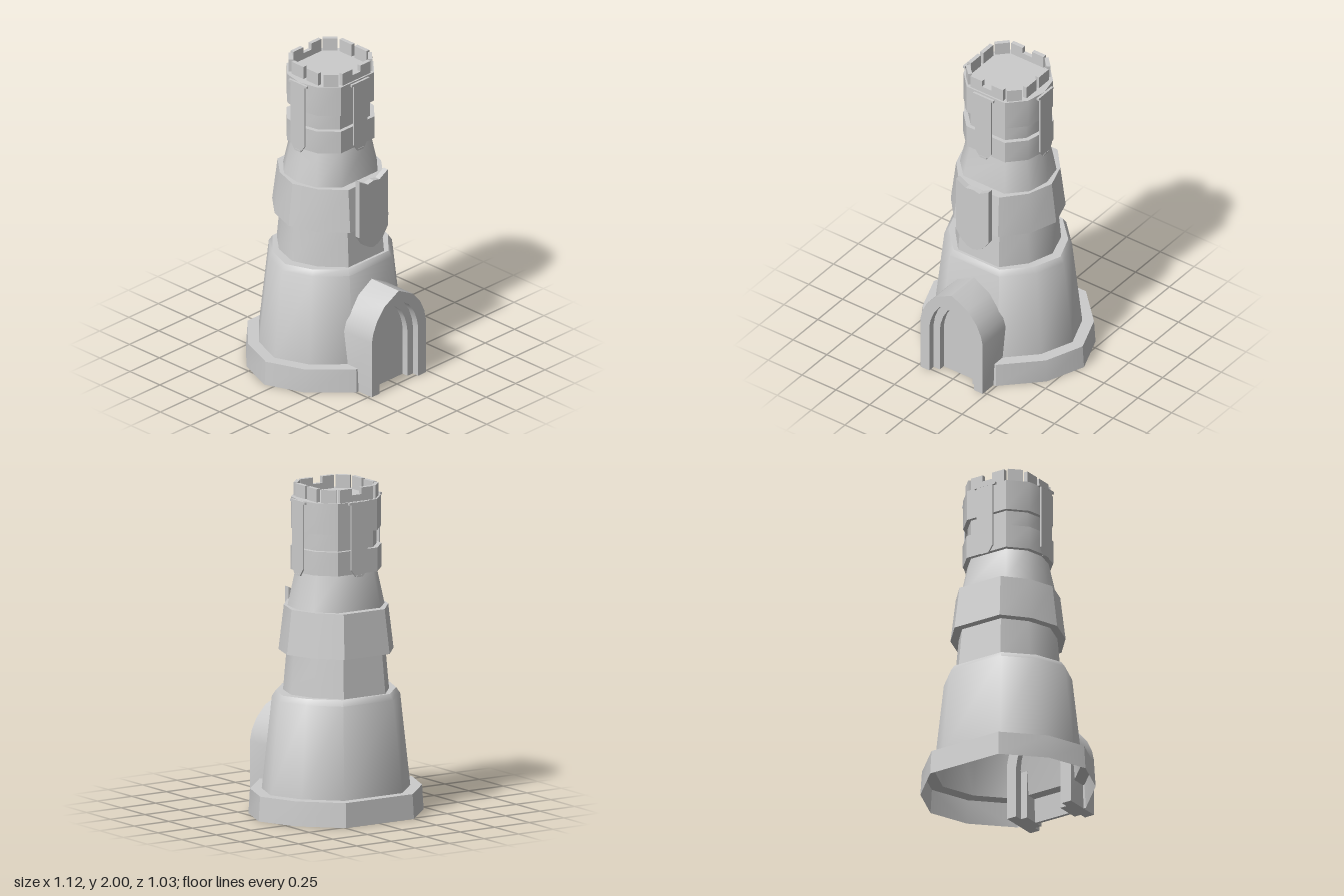
import * as THREE from 'three';
import { toCreasedNormals } from 'three/addons/utils/BufferGeometryUtils.js';

const material = new THREE.MeshStandardMaterial({ color: 0xcccccc, side: THREE.DoubleSide });
const AXIS_Z = -0.057; // the tower stands a little behind the porch

// Ten-sided outline from one quarter: points [x, z] after the tip at [1, 0]
function outline([ax, az], [bx, bz]) {
  const half = [[1, 0], [ax, az], [bx, bz], [-bx, bz], [-ax, az]];
  return [...half, ...half.map(([x, z]) => [-x, -z])];
}
const WIDE = outline([0.83, 0.44], [0.44, 0.825]);
const ROUND = outline([0.83, 0.5], [0.46, 0.92]);
const TOP = outline([0.9, 0.47], [0.53, 0.855]);

function add(parent, name, geometry, x = 0, y = 0, z = 0) {
  const mesh = new THREE.Mesh(geometry, material);
  mesh.name = name;
  mesh.position.set(x, y, z);
  parent.add(mesh);
  return mesh;
}

// Shell lofted through [radius, height] pairs over a ten-sided outline
function loft(profile, ring, crease) {
  const pos = [];
  const point = ([r, y], i) => {
    const [x, z] = ring[i % ring.length];
    return [x * r, y, z * r];
  };
  for (let j = 0; j < profile.length - 1; j++) {
    const lo = profile[j], hi = profile[j + 1];
    for (let i = 0; i < ring.length; i++) {
      const a = point(lo, i), b = point(lo, i + 1), c = point(hi, i), d = point(hi, i + 1);
      if (lo[0] > 0) pos.push(...a, ...c, ...b);
      if (hi[0] > 0) pos.push(...b, ...c, ...d);
    }
  }
  const g = new THREE.BufferGeometry();
  g.setAttribute('position', new THREE.Float32BufferAttribute(pos, 3));
  return toCreasedNormals(g, crease);
}

function plate(points, depth) {
  const shape = new THREE.Shape(points.map(([x, y]) => new THREE.Vector2(x, y)));
  return new THREE.ExtrudeGeometry(shape, { depth, bevelEnabled: false });
}

// Right half of a pointed arch, mirrored to a closed list
function archPoints(w, h) {
  const right = [[w, 0], [w, h * 0.57], [w * 0.94, h * 0.67], [w * 0.8, h * 0.78], [w * 0.52, h * 0.9]];
  return [...right, [0, h], ...right.map(([x, y]) => [-x, y]).reverse()];
}

function archBand(outer, inner, depth) {
  const v = ([x, y]) => new THREE.Vector2(x, y);
  const shape = new THREE.Shape([...archPoints(...outer), ...archPoints(...inner).reverse()].map(v));
  return toCreasedNormals(new THREE.ExtrudeGeometry(shape, { depth, bevelEnabled: false }), 0.5);
}

export function createModel() {
  const model = new THREE.Group();
  model.name = 'tower';
  const tower = new THREE.Group();
  tower.name = 'towerBody';
  tower.position.z = AXIS_Z;
  model.add(tower);

  // Stacked tiers, open below and capped by the roof
  const tiers = [
    ['plinth', WIDE, [[0.56, 0], [0.55, 0.15], [0.47, 0.15]], 0.6],
    ['lowerWall', WIDE, [[0.475, 0.15], [0.41, 0.71], [0.385, 0.745], [0.3, 0.745]], 0.85],
    ['middleWall', ROUND, [[0.327, 0.745], [0.305, 0.99]], 0.8],
    ['middleBand', ROUND, [[0.29, 0.99], [0.355, 0.99], [0.322, 1.26], [0.24, 1.26]], 0.65],
    ['upperWall', TOP, [[0.287, 1.26], [0.24, 1.48]], 0.8],
    ['lowerCollar', TOP, [[0.22, 1.48], [0.268, 1.48], [0.268, 1.625], [0.22, 1.625]], 0.65],
    ['turretNeck', TOP, [[0.24, 1.62], [0.24, 1.735]], 0.8],
    ['upperCollarAndRoof', TOP, [[0.22, 1.73], [0.266, 1.73], [0.266, 1.92], [0, 1.92]], 0.65],
  ];
  for (const [name, ring, profile, crease] of tiers) add(tower, name, loft(profile, ring, crease));

  // Battlements
  for (const s of [1, -1]) {
    const z = s * 0.205;
    for (const x of [-0.077, 0.077]) add(tower, 'merlon', new THREE.BoxGeometry(0.085, 0.08, 0.025), x, 1.96, z);
    add(tower, 'merlonLink', new THREE.BoxGeometry(0.07, 0.04, 0.025), 0, 1.94, z);
    for (const t of [1, -1]) {
      add(tower, 'merlon', new THREE.BoxGeometry(0.025, 0.08, 0.1), s * 0.205, 1.96, t * 0.062);
      const corner = add(tower, 'cornerMerlon', new THREE.BoxGeometry(0.025, 0.08, 0.09), s * 0.167, 1.96, t * 0.168);
      corner.rotation.y = -Math.atan2(t, s);
    }
  }

  // Hanging banners with rods on the four sides
  const cloth = plate([[-0.058, 1.91], [-0.058, 1.51], [-0.025, 1.465], [0.025, 1.465], [0.058, 1.51], [0.058, 1.91]], 0.01);
  [0.245, 0.27, 0.238, 0.27].forEach((distance, i) => {
    const side = new THREE.Group();
    side.name = 'banner';
    side.rotation.y = i * Math.PI / 2;
    add(side, 'bannerCloth', cloth, 0, 0, distance);
    add(side, 'bannerRod', new THREE.BoxGeometry(0.15, 0.015, 0.015), 0, 1.913, distance + 0.003);
    add(side, 'bannerHem', new THREE.BoxGeometry(0.05, 0.012, 0.014), 0, 1.471, distance + 0.005);
    tower.add(side);
  });

  // Shield on the front of the middle band
  add(model, 'shield', plate([
    [-0.12, 1.325], [-0.12, 0.95], [-0.075, 0.885], [-0.035, 0.86], [0, 0.85], [0.035, 0.86], [0.075, 0.885],
    [0.12, 0.95], [0.12, 1.325], [0.05, 1.285], [0, 1.295], [-0.05, 1.285],
  ], 0.035), 0, 0, 0.27);

  // Porch: two stepped pointed arches and the door behind them
  const porch = new THREE.Group();
  porch.name = 'porch';
  model.add(porch);
  add(porch, 'outerArch', archBand([0.23, 0.63], [0.165, 0.565], 0.245), 0, 0, 0.27);
  add(porch, 'innerArch', archBand([0.165, 0.565], [0.12, 0.515], 0.15), 0, 0, 0.32);
  add(porch, 'door', plate(archPoints(0.12, 0.515), 0.02), 0, 0, 0.41);
  return model;
}
